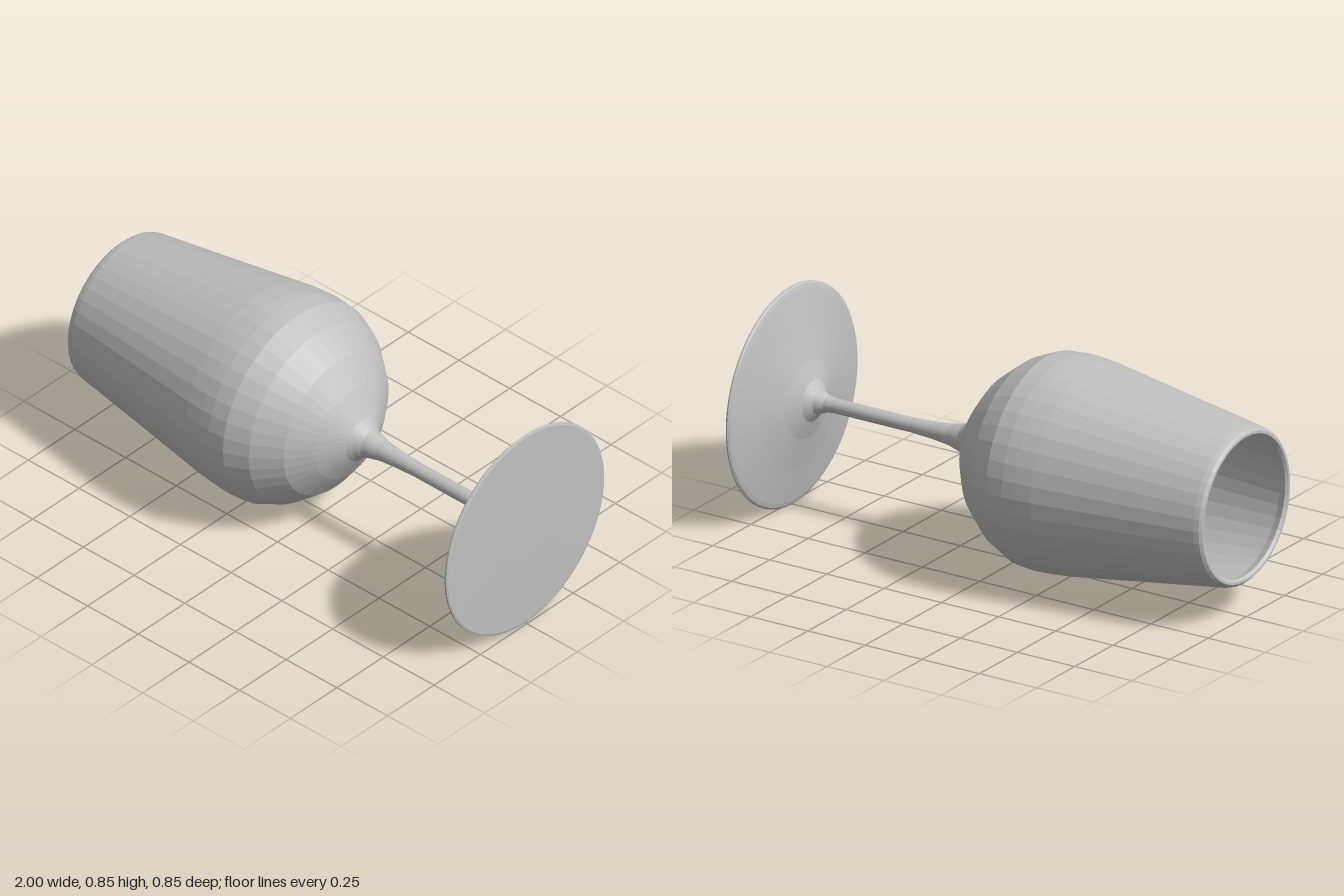
import * as THREE from 'three';

// Glass lying on its side: profiles are [position along x, radius]
const AXIS_Y = 0.427;

export function createModel() {
  const glass = new THREE.MeshStandardMaterial({ color: 0xc0c0c0, flatShading: true });
  glass.name = 'grey glass';
  const model = new THREE.Group();
  model.name = 'wineGlass';

  const turn = (name, profile, segments) => {
    const points = profile.map(([x, r]) => new THREE.Vector2(r, x));
    const geometry = new THREE.LatheGeometry(points, segments);
    geometry.rotateZ(-Math.PI / 2);
    geometry.translate(0, AXIS_Y, 0);
    const mesh = new THREE.Mesh(geometry, glass);
    mesh.name = name;
    model.add(mesh);
  };

  // Hollow bowl: inner wall out to the rim, then the outer wall back
  turn('bowl', [
    [0.16, 0], [0.15, 0.07], [0.11, 0.17], [0.04, 0.265], [-0.05, 0.34],
    [-0.13, 0.375], [-0.2, 0.382], [-0.3, 0.377], [-0.6, 0.335], [-0.96, 0.282],
    [-0.99, 0.27], [-1, 0.278], [-1, 0.288], [-0.99, 0.298], [-0.97, 0.304],
    [-0.6, 0.358], [-0.32, 0.4], [-0.25, 0.406], [-0.2, 0.408], [-0.13, 0.403],
    [-0.04, 0.363], [0.06, 0.283], [0.13, 0.188], [0.19, 0.088],
  ], 40);

  // Slender stem flaring at both ends
  turn('stem', [
    [0.19, 0.088], [0.205, 0.072], [0.23, 0.055], [0.29, 0.04], [0.37, 0.032],
    [0.46, 0.028], [0.8, 0.028], [0.83, 0.032], [0.865, 0.048],
  ], 40);

  // Round foot with a thin rolled edge and a closed underside
  turn('foot', [
    [0.865, 0.048], [0.89, 0.08], [0.915, 0.15], [0.945, 0.27], [0.965, 0.36],
    [0.975, 0.405], [0.98, 0.42], [0.986, 0.427], [0.992, 0.426], [0.995, 0.418],
    [1, 0.12], [1, 0],
  ], 64);

  return model;
}
